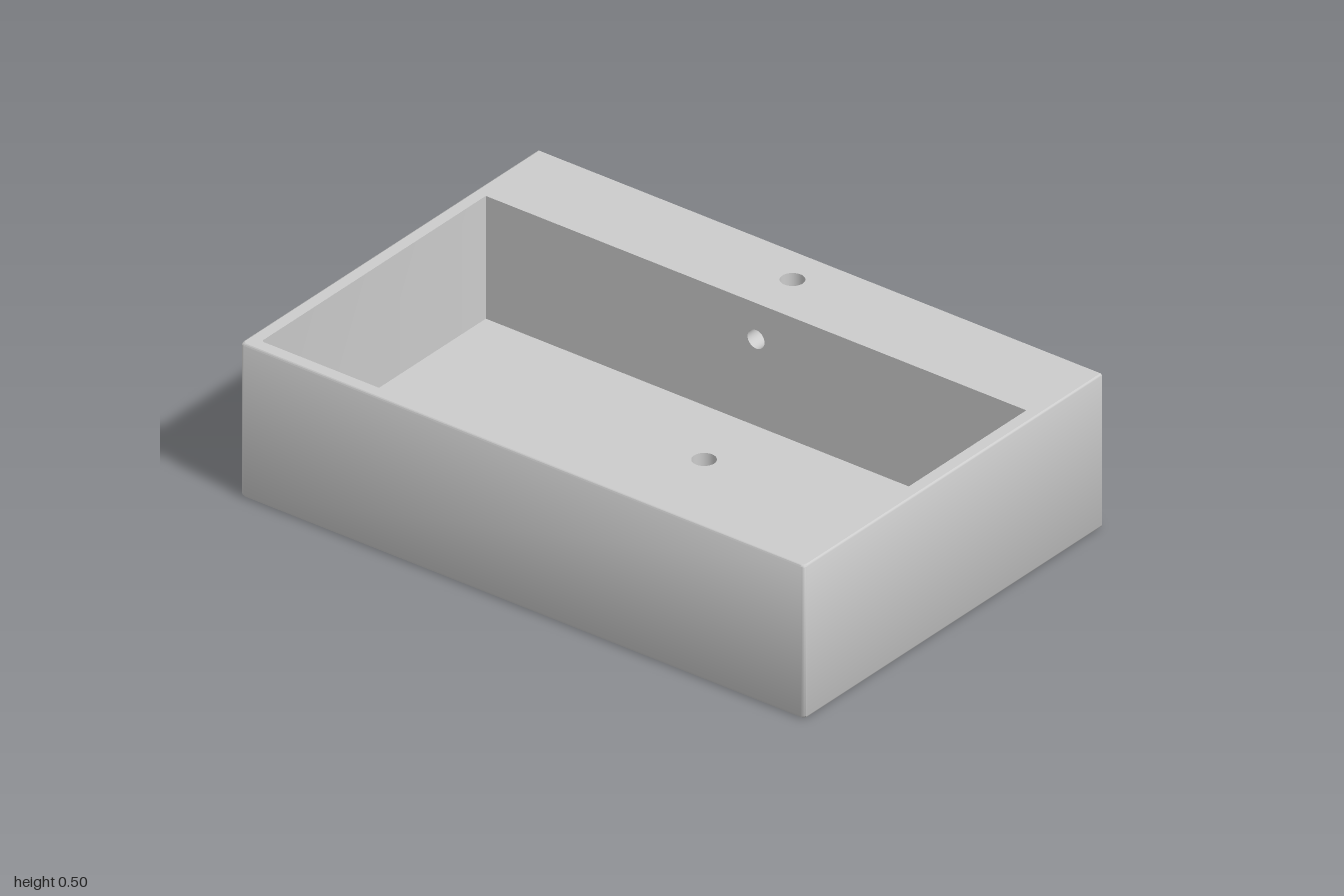
import * as THREE from 'three';
import { toCreasedNormals } from 'three/addons/utils/BufferGeometryUtils.js';

const WIDTH = 1, DEPTH = 0.673, HEIGHT = 0.497, FLOOR = 0.1;
const BASIN = { x: 0.957, back: -0.385, front: 0.63 };
const HOLE = 0.036, TAP_Z = -0.55, DRAIN_Z = -0.15;
const OVERFLOW = { y: 0.38, r: 0.03, depth: 0.08 };

const grey = new THREE.MeshStandardMaterial({ color: 0xcccccc });
const greyInside = new THREE.MeshStandardMaterial({ color: 0xcccccc, side: THREE.BackSide });

// Rectangle as [x, z] points with sharp back corners and rounded front corners;
// the last closing segment is the back side.
function outline(x, back, front, r) {
  const pts = [[-x, back]];
  for (const [cx, start] of [[-x + r, Math.PI], [x - r, Math.PI / 2]]) {
    for (let i = 0; i <= 4; i++) {
      const a = start - (i / 4) * Math.PI / 2;
      pts.push([cx + r * Math.cos(a), front - r + r * Math.sin(a)]);
    }
  }
  pts.push([x, back]);
  return pts;
}

// Wall through a stack of outlines, each { y, pts }
function wall(rings, closed) {
  const pos = [];
  for (let k = 0; k < rings.length - 1; k++) {
    const lo = rings[k], hi = rings[k + 1], n = lo.pts.length;
    for (let i = 0; i < (closed ? n : n - 1); i++) {
      const j = (i + 1) % n;
      const p = (ring, m) => [ring.pts[m][0], ring.y, ring.pts[m][1]];
      const a = p(lo, i), b = p(lo, j), c = p(hi, j), d = p(hi, i);
      pos.push(...a, ...b, ...c, ...a, ...c, ...d);
    }
  }
  const g = new THREE.BufferGeometry();
  g.setAttribute('position', new THREE.Float32BufferAttribute(pos, 3));
  return toCreasedNormals(g, 0.7);
}

function circlePath(x, y, r) {
  return new THREE.Path().absarc(x, y, r, 0, Math.PI * 2, true);
}

// Horizontal face with holes; each hole is a Path in (x, s * z)
function sheet(pts, y, up, makeHoles) {
  const s = up ? -1 : 1;
  const shape = new THREE.Shape(pts.map(([x, z]) => new THREE.Vector2(x, s * z)));
  shape.holes = makeHoles(s);
  const g = new THREE.ShapeGeometry(shape, 16);
  g.rotateX(s * Math.PI / 2);
  g.translate(0, y, 0);
  return g;
}

export function createModel() {
  const group = new THREE.Group();
  group.name = 'washbasin';
  const add = (name, geometry, material = grey) => {
    const mesh = new THREE.Mesh(geometry, material);
    mesh.name = name;
    group.add(mesh);
    return mesh;
  };

  // Outer body with softened front, side and bottom edges
  const body = (inset) => outline(WIDTH - inset, -DEPTH, DEPTH - inset, 0.014);
  add('outerWalls', wall([
    { y: 0, pts: body(0.009) },
    { y: 0.003, pts: body(0.003) },
    { y: 0.009, pts: body(0) },
    { y: HEIGHT - 0.006, pts: body(0) },
    { y: HEIGHT - 0.002, pts: body(0.002) },
    { y: HEIGHT, pts: body(0.006) },
  ], true));

  const bowl = outline(BASIN.x, BASIN.back, BASIN.front, 0.01);

  // Rim and tap deck
  add('rim', sheet(body(0.006), HEIGHT, true, (s) => [
    new THREE.Path(bowl.map(([x, z]) => new THREE.Vector2(x, s * z))),
    circlePath(0, s * TAP_Z, HOLE),
  ]));

  // Underside
  add('underside', sheet(body(0.009), 0, false, (s) => [
    circlePath(0, s * TAP_Z, HOLE),
    circlePath(0, s * DRAIN_Z, HOLE),
  ]));

  // Bowl: front and side walls, floor, and back wall with the overflow opening
  add('bowlWalls', wall([{ y: HEIGHT, pts: bowl }, { y: FLOOR, pts: bowl }], false));
  add('bowlFloor', sheet(bowl, FLOOR, true, (s) => [circlePath(0, s * DRAIN_Z, HOLE)]));
  const back = new THREE.Shape([[-1, FLOOR], [1, FLOOR], [1, HEIGHT], [-1, HEIGHT]]
    .map(([side, y]) => new THREE.Vector2(side * BASIN.x, y)));
  back.holes.push(circlePath(0, OVERFLOW.y, OVERFLOW.r));
  add('bowlBackWall', new THREE.ShapeGeometry(back, 16).translate(0, 0, BASIN.back));

  // Bores through the deck and the floor, and the blind overflow bore
  const bore = (name, r, length) =>
    add(name, new THREE.CylinderGeometry(r, r, length, 32, 1, true), greyInside);
  bore('tapHole', HOLE, HEIGHT).position.set(0, HEIGHT / 2, TAP_Z);
  bore('drainHole', HOLE, FLOOR).position.set(0, FLOOR / 2, DRAIN_Z);
  const overflow = bore('overflowHole', OVERFLOW.r, OVERFLOW.depth);
  overflow.rotation.x = Math.PI / 2;
  overflow.position.set(0, OVERFLOW.y, BASIN.back - OVERFLOW.depth / 2);
  add('overflowEnd', new THREE.CircleGeometry(OVERFLOW.r, 32))
    .position.set(0, OVERFLOW.y, BASIN.back - OVERFLOW.depth);

  return group;
}
